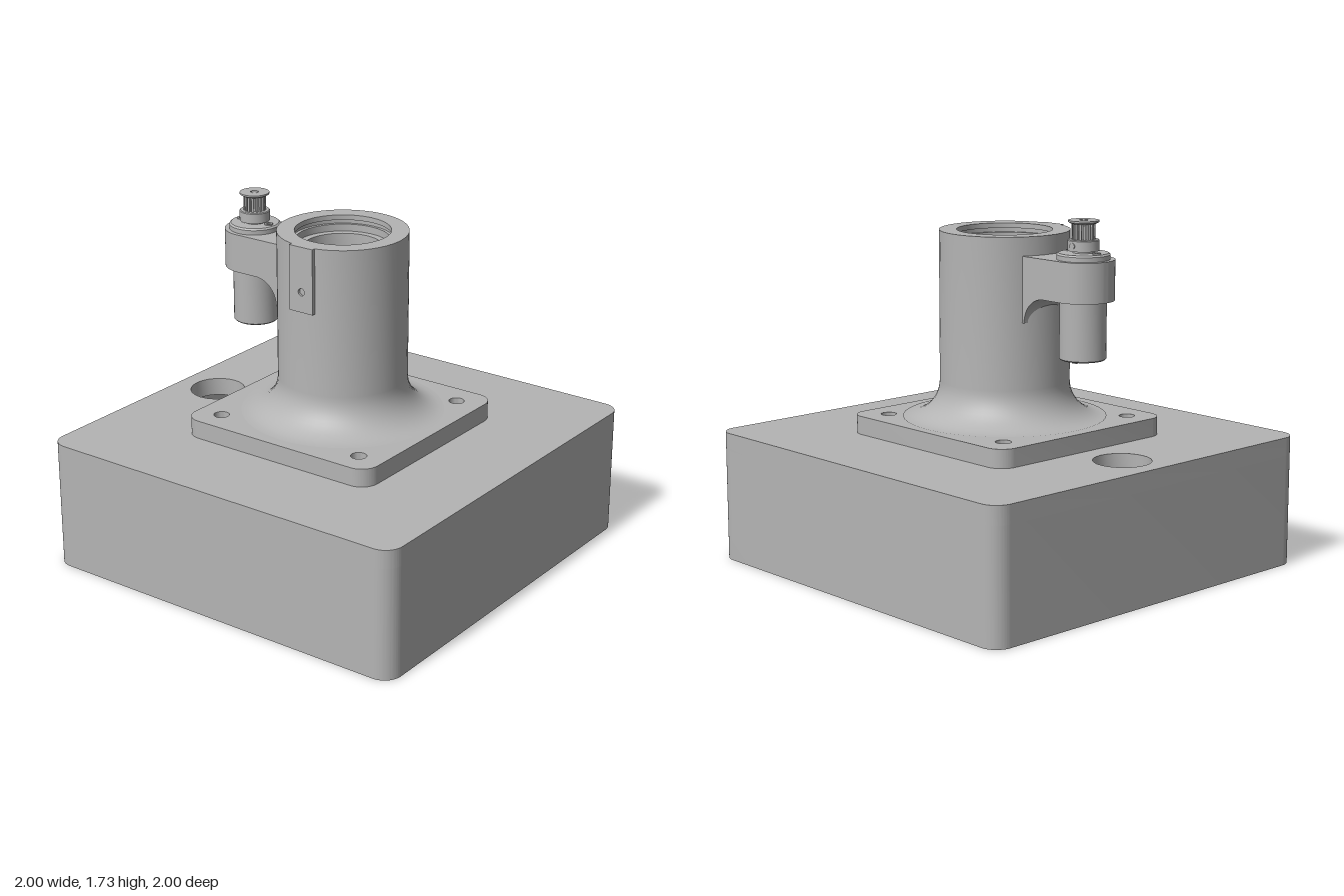
import * as THREE from 'three';
import { toCreasedNormals } from 'three/addons/utils/BufferGeometryUtils.js';

const V = (x, y) => new THREE.Vector2(x, y);

export function createModel() {
  const model = new THREE.Group();
  model.name = 'pedestalWithMotor';
  const grey = new THREE.MeshStandardMaterial({ color: 0xb4b4b4 });
  grey.name = 'machined grey';

  const add = (parent, name, geometry) => {
    const mesh = new THREE.Mesh(toCreasedNormals(geometry, 0.6), grey);
    mesh.name = name;
    parent.add(mesh);
    return mesh;
  };

  // Square outline with rounded corners, half size h
  const roundedSquare = (h, r, Type = THREE.Shape) => {
    const s = new Type(), c = h - r;
    s.absarc(c, c, r, 0, Math.PI / 2);
    s.absarc(-c, c, r, Math.PI / 2, Math.PI);
    s.absarc(-c, -c, r, Math.PI, Math.PI * 1.5);
    s.absarc(c, -c, r, Math.PI * 1.5, Math.PI * 2);
    s.closePath();
    return s;
  };

  // Round hole at plan position x, z
  const cut = (shape, x, z, r) =>
    shape.holes.push(new THREE.Path().absarc(x, -z, r, 0, Math.PI * 2, true));

  // Plan outline raised from y0 to y1
  const raise = (shape, y0, y1, curveSegments = 12) =>
    new THREE.ExtrudeGeometry(shape, { depth: y1 - y0, bevelEnabled: false, curveSegments })
      .rotateX(-Math.PI / 2).translate(0, y0, 0);

  const lathe = (points, segments = 48) =>
    new THREE.LatheGeometry(points.map(([r, y]) => V(r, y)), segments);

  // Hollow base, open underneath
  const walls = roundedSquare(1, 0.09);
  walls.holes.push(roundedSquare(0.955, 0.045, THREE.Path));
  add(model, 'baseWalls', raise(walls, 0, 0.55));

  const boltHoles = (shape) => {
    for (const x of [-0.413, 0.407]) for (const z of [-0.413, 0.407]) cut(shape, x, z, 0.038);
  };
  const top = roundedSquare(1, 0.09);
  cut(top, 0, 0.005, 0.17);
  cut(top, 0, -0.78, 0.138);
  boltHoles(top);
  add(model, 'baseTop', raise(top, 0.55, 0.64));

  // Bolted flange
  const flange = roundedSquare(0.543, 0.09);
  cut(flange, 0, 0.005, 0.17);
  boltHoles(flange);
  add(model, 'flange', raise(flange, 0.64, 0.73));

  // Hollow column with a flared foot and a stepped bearing seat
  const tower = new THREE.Group();
  tower.name = 'tower';
  tower.position.set(0.007, 0, 0.007);
  model.add(tower);
  const profile = [[0.17, 0.729]];
  for (let i = 0; i <= 12; i++) {
    const a = (i / 12) * Math.PI / 2;
    profile.push([0.495 - 0.18 * Math.sin(a), 0.912 - 0.18 * Math.cos(a)]);
  }
  profile.push([0.315, 1.64], [0.23, 1.64], [0.23, 1.615], [0.242, 1.615], [0.242, 1.595],
    [0.226, 1.595], [0.226, 1.56], [0.19, 1.56], [0.19, 1.5], [0.17, 1.5], [0.17, 0.729]);
  add(tower, 'column', lathe(profile));

  // Flat side pad with a small hole
  const pad = new THREE.Shape([V(-0.07, 1.32), V(0.065, 1.32), V(0.065, 1.64), V(-0.07, 1.64)]);
  cut(pad, 0, -1.42, 0.018);
  add(tower, 'sidePad', new THREE.ExtrudeGeometry(pad, { depth: 0.067, bevelEnabled: false })
    .rotateY(-Math.PI / 2).translate(-0.26, 0, 0));

  // Motor arm with rounded end
  const motorZ = -0.532;
  const arm = new THREE.Shape();
  arm.moveTo(-0.147, 0.26);
  arm.lineTo(0.147, 0.26);
  arm.absarc(0, -motorZ, 0.147, 0, Math.PI);
  arm.closePath();
  add(tower, 'motorArm', raise(arm, 1.36, 1.55, 24));

  // Concave gusset under the arm
  const gusset = new THREE.Shape();
  gusset.moveTo(0.26, 1.235);
  gusset.lineTo(0.29, 1.235);
  gusset.absarc(0.415, 1.235, 0.125, Math.PI, Math.PI / 2, true);
  gusset.lineTo(0.26, 1.36);
  gusset.closePath();
  add(tower, 'armGusset', new THREE.ExtrudeGeometry(gusset, { depth: 0.294, bevelEnabled: false })
    .rotateY(Math.PI / 2).translate(-0.147, 0, 0));

  // Motor hanging from the arm
  const motor = new THREE.Group();
  motor.name = 'motor';
  motor.position.z = motorZ;
  tower.add(motor);
  add(motor, 'motorBody', lathe([[0, 1.08], [0.104, 1.08], [0.11, 1.086], [0.11, 1.365]], 36));
  add(motor, 'rearBoss', lathe([[0, 1.07], [0.03, 1.07], [0.03, 1.081]], 24));
  add(motor, 'rearShaft', lathe([[0, 1.062], [0.01, 1.062], [0.01, 1.07]], 16));
  for (const s of [-1, 1]) {
    add(motor, 'terminal', new THREE.BoxGeometry(0.012, 0.016, 0.025).translate(s * 0.05, 1.074, 0));
  }

  // Front collar with two screws
  add(motor, 'collar', lathe([[0.125, 1.549], [0.125, 1.572], [0.117, 1.58], [0, 1.58]], 36));
  for (const s of [-1, 1]) {
    add(motor, 'collarScrew', lathe([[0.02, 1.579], [0.02, 1.586], [0.01, 1.586], [0.01, 1.581], [0, 1.581]], 16)
      .translate(0, 0, s * 0.085));
  }

  // Toothed pulley: hub, flanges, teeth and shaft end
  add(motor, 'pulleyHub', lathe([[0, 1.59], [0.074, 1.59], [0.074, 1.638], [0.07, 1.642], [0, 1.642]], 32));
  add(motor, 'hubSpacer', lathe([[0.05, 1.579], [0.05, 1.591]], 24));
  add(motor, 'setScrew', new THREE.CylinderGeometry(0.016, 0.016, 0.008, 16)
    .rotateZ(Math.PI / 2).translate(0.072, 1.615, 0));
  const teeth = [];
  for (let i = 0; i < 16; i++) {
    for (const [t, r] of [[0, 0.055], [0.5, 0.055], [0.55, 0.042], [0.95, 0.042]]) {
      const a = ((i + t) / 16) * Math.PI * 2;
      teeth.push(V(r * Math.cos(a), r * Math.sin(a)));
    }
  }
  add(motor, 'pulleyTeeth', raise(new THREE.Shape(teeth), 1.641, 1.72));
  add(motor, 'pulleyFlange', lathe([[0, 1.715], [0.06, 1.715], [0.072, 1.722], [0.072, 1.73],
    [0.02, 1.73], [0.02, 1.722], [0, 1.722]], 32));
  add(motor, 'shaftEnd', lathe([[0.016, 1.72], [0.016, 1.729], [0, 1.729]], 16));

  return model;
}
